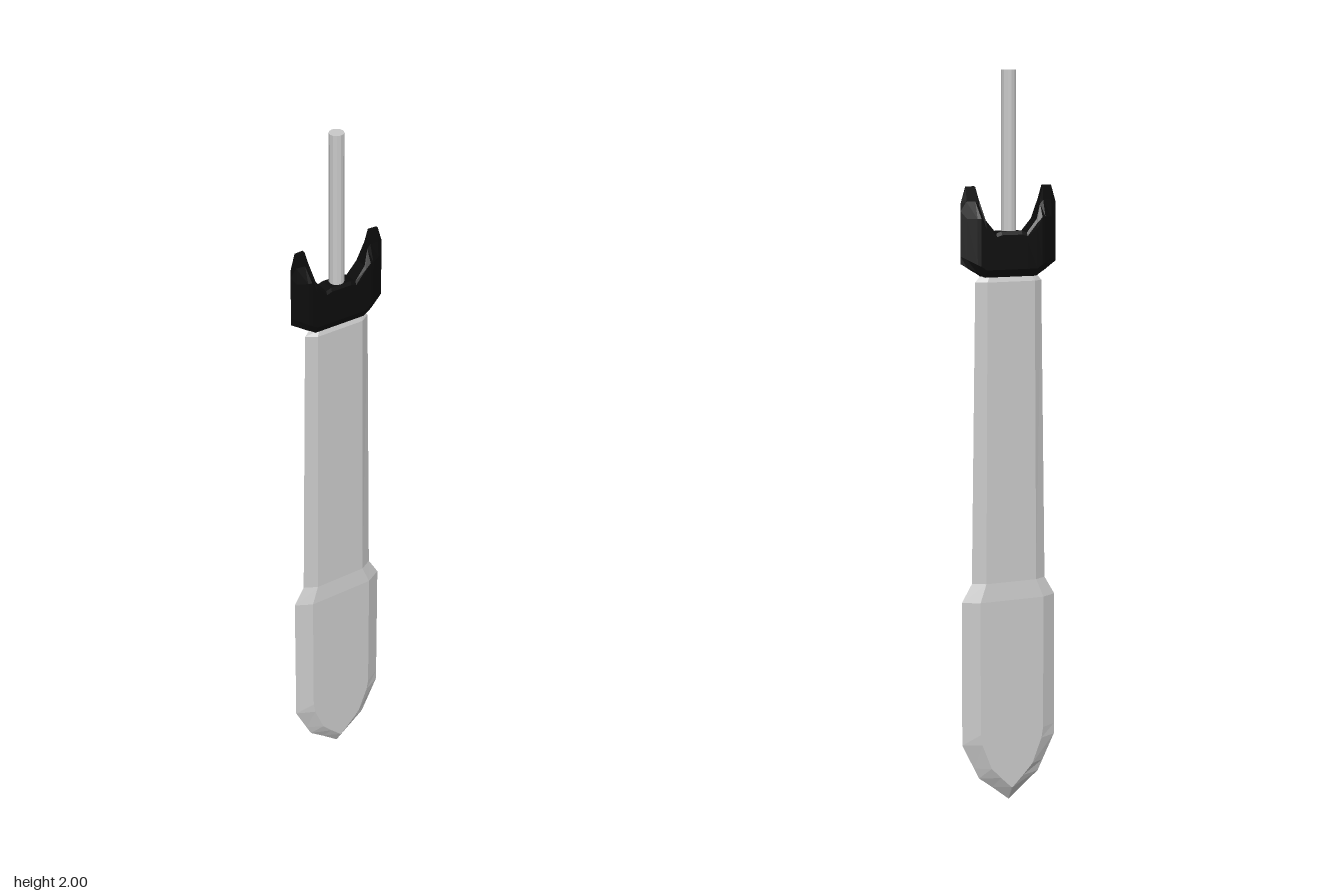
import * as THREE from 'three';

// Skin closed rings of [x, y, z] points, with flat facets and capped ends
function loft(rings) {
  const pos = [];
  const tri = (a, b, c) => pos.push(...a, ...b, ...c);
  for (let i = 0; i < rings.length - 1; i++) {
    const A = rings[i], B = rings[i + 1], n = A.length;
    for (let j = 0; j < n; j++) {
      const k = (j + 1) % n;
      tri(A[j], A[k], B[k]);
      tri(A[j], B[k], B[j]);
    }
  }
  const first = rings[0], last = rings[rings.length - 1];
  for (let j = 1; j < first.length - 1; j++) {
    tri(first[0], first[j + 1], first[j]);
    tri(last[0], last[j], last[j + 1]);
  }
  const g = new THREE.BufferGeometry();
  g.setAttribute('position', new THREE.Float32BufferAttribute(pos, 3));
  g.computeVertexNormals();
  return g;
}

export function createModel() {
  const group = new THREE.Group();
  const steel = new THREE.MeshStandardMaterial({ color: 0xc8c8c8, flatShading: true });
  steel.name = 'steel';
  const black = new THREE.MeshStandardMaterial({ color: 0x0c0c0c, flatShading: true });
  black.name = 'black';
  const add = (name, geometry, material) => {
    const mesh = new THREE.Mesh(geometry, material);
    mesh.name = name;
    group.add(mesh);
    return mesh;
  };

  // Blade: hexagonal sections [y, half width, half width of flat, half thickness]
  const bladeStations = [
    [0, 0, 0, 0],
    [0.04, 0.05, 0.002, 0.024],
    [0.07, 0.09, 0.033, 0.024],
    [0.10, 0.105, 0.062, 0.024],
    [0.17, 0.14, 0.09, 0.024],
    [0.20, 0.14, 0.095, 0.024],
    [0.57, 0.14, 0.095, 0.024],
    [0.62, 0.11, 0.075, 0.019],
    [1.44, 0.098, 0.07, 0.018],
    [1.455, 0.085, 0.062, 0.013],
  ];
  add('blade', loft(bladeStations.map(([y, w, f, t]) => [
    [-w, y, 0], [-f, y, t], [f, y, t], [w, y, 0], [f, y, -t], [-f, y, -t],
  ])), steel);

  // Crossguard with two horns: [x, bottom, shoulder, horn start, top, thickness, top thickness]
  const half = [
    [0, 1.453, 1.55, 1.565, 1.575, 0.024, 0.02],
    [0.03, 1.453, 1.55, 1.565, 1.575, 0.024, 0.02],
    [0.045, 1.453, 1.55, 1.56, 1.57, 0.024, 0.02],
    [0.075, 1.453, 1.58, 1.595, 1.605, 0.024, 0.018],
    [0.09, 1.463, 1.61, 1.645, 1.66, 0.024, 0.006],
    [0.10, 1.468, 1.61, 1.655, 1.695, 0.021, 0.005],
    [0.125, 1.482, 1.61, 1.655, 1.695, 0.008, 0.003],
    [0.14, 1.49, 1.61, 1.63, 1.65, 0, 0],
  ];
  const mirrored = half.slice(1).reverse().map(([x, ...rest]) => [-x, ...rest]);
  add('crossguard', loft([...mirrored, ...half].map(([x, y0, y2, y3, y4, t, tt]) => {
    const side = [[y0, t * 0.65], [y0 + 0.02, t], [y2, t], [y3, Math.min(t, tt * 1.3)], [y4, tt]];
    return [
      [x, y0, t * 0.65],
      ...side.map(([y, z]) => [x, y, -z]),
      ...side.slice(1).reverse().map(([y, z]) => [x, y, z]),
    ];
  })), black);

  // Grip rod
  add('grip', new THREE.CylinderGeometry(0.02, 0.02, 0.48, 12), steel).position.y = 1.76;

  return group;
}
